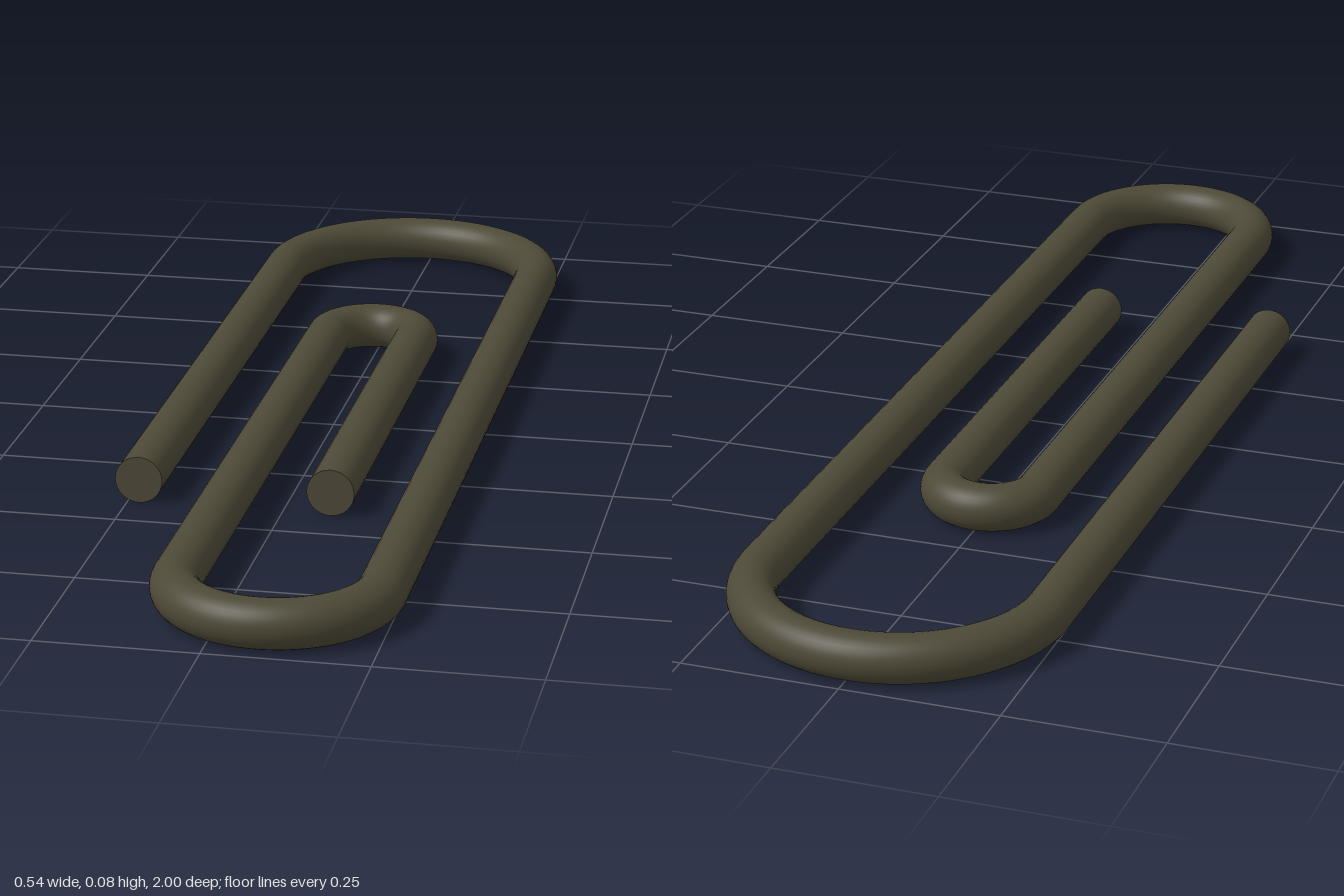
import * as THREE from 'three';

const R = 0.038;      // wire radius
const SIDES = 32;     // sides around the wire
const OUTER = 0.231;  // x of the outer legs
const INNER = 0.077;  // x of the inner legs
const END = 0.42;     // z of both free ends

export function createModel() {
  const clip = new THREE.Group();
  clip.name = 'paperClip';
  const wire = new THREE.MeshStandardMaterial({ color: 0x4d4937 });
  wire.name = 'dark bronze wire';

  function add(name, geometry, x, z) {
    const mesh = new THREE.Mesh(geometry, wire);
    mesh.name = name;
    mesh.position.set(x, R, z);
    clip.add(mesh);
  }

  // Straight run of wire along z, open where it meets a bend
  function leg(name, x, z0, z1) {
    const g = new THREE.CylinderGeometry(R, R, z1 - z0, SIDES, 1, true).rotateX(Math.PI / 2);
    add(name, g, x, (z0 + z1) / 2);
  }

  // Half-circle bend joining two legs; dir is +1 for the front, -1 for the back
  function bend(name, x0, x1, z, dir) {
    const g = new THREE.TorusGeometry((x1 - x0) / 2, R, SIDES, 48, Math.PI).rotateX(dir * Math.PI / 2);
    add(name, g, (x0 + x1) / 2, z);
  }

  const backZ = -1 + R + OUTER;
  const frontZ = 1 - R - (OUTER + INNER) / 2;
  const innerZ = -0.347;

  // Wire path from the outer free end to the inner free end
  leg('outerRightLeg', -OUTER, backZ, END);
  bend('backBend', -OUTER, OUTER, backZ, -1);
  leg('outerLeftLeg', OUTER, backZ, frontZ);
  bend('frontBend', -INNER, OUTER, frontZ, 1);
  leg('innerRightLeg', -INNER, innerZ, frontZ);
  bend('innerBend', -INNER, INNER, innerZ, -1);
  leg('innerLeftLeg', INNER, innerZ, END);

  // Flat cut ends
  add('outerCutEnd', new THREE.CircleGeometry(R, SIDES), -OUTER, END);
  add('innerCutEnd', new THREE.CircleGeometry(R, SIDES), INNER, END);

  return clip;
}
